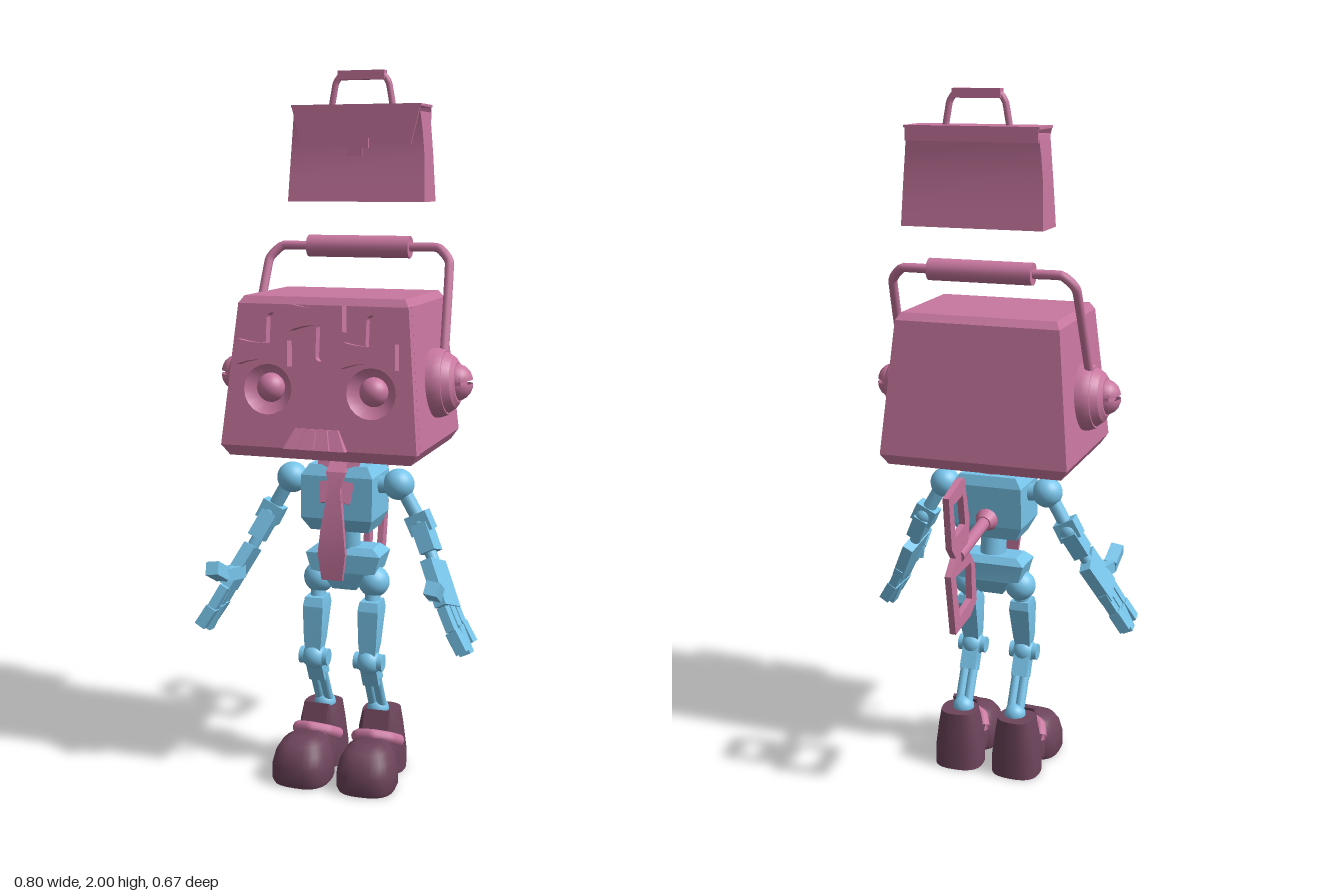
import * as THREE from 'three';
import { toCreasedNormals } from 'three/addons/utils/BufferGeometryUtils.js';

const V = (x, y, z) => new THREE.Vector3(x, y, z);
const paint = (color) => new THREE.MeshStandardMaterial({ color, side: THREE.DoubleSide });
const PINK = paint(0xc8779f), BLUE = paint(0x78c4ea), PLUM = paint(0x6d445b);

function add(parent, name, geo, mat, x = 0, y = 0, z = 0) {
  const m = new THREE.Mesh(geo, mat);
  m.name = name;
  m.position.set(x, y, z);
  parent.add(m);
  return m;
}
function part(parent, name) {
  const g = new THREE.Group();
  g.name = name;
  parent.add(g);
  return g;
}
const ball = (p, name, mat, x, y, z, r) => add(p, name, new THREE.SphereGeometry(r, 24, 16), mat, x, y, z);
const box = (p, name, mat, w, h, d, x, y, z) => add(p, name, new THREE.BoxGeometry(w, h, d), mat, x, y, z);

// Places a y-aligned geometry of unit length between two points, keeping its depth near z.
function span(m, a, b) {
  const up = b.clone().sub(a), y = up.clone().normalize();
  const ref = Math.abs(y.z) > 0.9 ? V(0, 1, 0) : V(0, 0, 1);
  const x = y.clone().cross(ref).normalize();
  m.quaternion.setFromRotationMatrix(new THREE.Matrix4().makeBasis(x, y, x.clone().cross(y)));
  m.scale.y = up.length();
  m.position.copy(a).add(b).multiplyScalar(0.5);
  return m;
}
const beam = (p, name, mat, a, b, w, d) => span(add(p, name, new THREE.BoxGeometry(w, 1, d), mat), a, b);
const rod = (p, name, mat, a, b, r0, r1 = r0) => span(add(p, name, new THREE.CylinderGeometry(r1, r0, 1, 16), mat), a, b);

// Skins closed rings from bottom to top and caps both ends.
function loft(rings, crease = 0.3) {
  const pos = [], n = rings[0].length;
  const tri = (...c) => c.forEach((v) => pos.push(v.x, v.y, v.z));
  for (let k = 0; k + 1 < rings.length; k++) {
    for (let i = 0; i < n; i++) {
      const a = rings[k], b = rings[k + 1], j = (i + 1) % n;
      tri(a[i], a[j], b[j]);
      tri(a[i], b[j], b[i]);
    }
  }
  const lo = rings[0], hi = rings[rings.length - 1];
  for (let i = 1; i + 1 < n; i++) {
    tri(hi[0], hi[i], hi[i + 1]);
    tri(lo[0], lo[i + 1], lo[i]);
  }
  const g = new THREE.BufferGeometry();
  g.setAttribute('position', new THREE.Float32BufferAttribute(pos, 3));
  return toCreasedNormals(g, crease);
}
const rect = ([y, hx, zb, zf]) => [V(-hx, y, zf), V(hx, y, zf), V(hx, y, zb), V(-hx, y, zb)];
const oval = ([y, rx, rz, zc]) => Array.from({ length: 28 }, (_, i) => {
  const t = (i / 28) * Math.PI * 2, c = Math.cos(t), s = Math.sin(t);
  return V(rx * Math.sign(c) * Math.abs(c) ** 0.75, y, zc - rz * Math.sign(s) * Math.abs(s) ** 0.75);
});
const poly = (pts) => new THREE.Shape(pts.map(([x, y]) => new THREE.Vector2(x, y)));
const plate = (shape, depth) => new THREE.ExtrudeGeometry(shape, { depth, bevelEnabled: false, curveSegments: 10 });
const tube = (pts, r) => new THREE.TubeGeometry(new THREE.CatmullRomCurve3(pts, false, 'catmullrom', 0.15), 48, r, 10);

function slot(x, y0, y1, r) {
  const p = new THREE.Path();
  p.absarc(x, y1 - r, r, 0, Math.PI);
  p.absarc(x, y0 + r, r, Math.PI, Math.PI * 2);
  p.closePath();
  return p;
}

function buildHead(root) {
  const head = part(root, 'head');
  add(head, 'headShell', loft([
    [0.965, 0.255, -0.12, 0.295], [0.995, 0.275, -0.135, 0.31], [0.995, 0.275, -0.135, 0.28],
    [1.375, 0.238, -0.097, 0.235], [1.375, 0.238, -0.097, 0.265], [1.395, 0.225, -0.08, 0.252],
  ].map(rect)), PINK);

  // Leaning face panel with brow slots and eye sockets
  const face = part(head, 'face');
  face.position.set(0, 0.995, 0.31);
  face.rotation.x = -0.118;
  const panel = poly([[-0.275, 0], [0.275, 0], [0.238, 0.383], [-0.238, 0.383]]);
  panel.holes.push(slot(0, 0.235, 0.335, 0.013));
  for (const s of [-1, 1]) {
    panel.holes.push(slot(s * 0.14, 0.25, 0.36, 0.015));
    panel.holes.push(new THREE.Path().absarc(s * 0.145, 0.155, 0.068, 0, Math.PI * 2));
    const dish = [[0, -0.028], [0.042, -0.026], [0.069, 0]].map(([x, y]) => new THREE.Vector2(x, y));
    add(face, 'eyeSocket', new THREE.LatheGeometry(dish, 20), PINK, s * 0.145, 0.155, 0).rotation.x = Math.PI / 2;
    ball(face, 'eye', PINK, s * 0.145, 0.16, -0.03, 0.04);
  }
  add(face, 'facePanel', plate(panel, 0.03), PINK, 0, 0, -0.03);

  // Sliding brows on pegs
  const brow = new THREE.Shape();
  brow.moveTo(-0.073, -0.033);
  brow.quadraticCurveTo(0, -0.002, 0.073, -0.033);
  brow.lineTo(0.07, 0.035);
  brow.quadraticCurveTo(0, 0.018, -0.07, 0.035);
  for (const [x, y, z] of [[-0.148, 0.252, 0.008], [0, 0.347, 0.004], [0.148, 0.252, 0.008]]) {
    add(face, 'brow', plate(brow, 0.036), PINK, x, y, z);
    box(face, 'browPeg', PINK, 0.02, 0.02, 0.05, x * 0.95, y + 0.008, -0.005);
  }
  // Four teeth flaring outwards at the bottom
  for (let i = -2; i < 2; i++) {
    const a = i * 0.044 + 0.002, b = a + 0.04;
    add(face, 'tooth', loft([
      [V(a, 0, 0.026), V(b, 0, 0.026), V(b, 0, -0.01), V(a, 0, -0.01)],
      [V(a * 0.7, 0.055, 0.01), V(b * 0.7, 0.055, 0.01), V(b * 0.7, 0.055, -0.01), V(a * 0.7, 0.055, -0.01)],
    ]), PINK);
  }

  // Ear cups with a notched knob
  const cup = [[0, 0], [0.095, 0], [0.095, 0.025], [0.088, 0.048], [0.083, 0.048], [0.07, 0.068], [0.055, 0.078], [0.048, 0.078]];
  for (const s of [-1, 1]) {
    const ear = part(head, s > 0 ? 'leftEar' : 'rightEar');
    ear.position.set(s * 0.25, 1.155, 0.08);
    ear.rotation.z = s * (-Math.PI / 2 + 0.07);
    const geo = new THREE.LatheGeometry(cup.map(([r, y]) => new THREE.Vector2(r, y)), 28);
    add(ear, 'earCup', toCreasedNormals(geo, 0.4), PINK);
    for (const side of [0, 1]) {
      const half = add(ear, 'earKnob', new THREE.SphereGeometry(0.046, 16, 10, 0, Math.PI), PINK, s * (side ? 0.005 : -0.005), 0.07, 0);
      half.rotation.y = side === (s > 0 ? 1 : 0) ? Math.PI / 2 : -Math.PI / 2;
    }
    box(ear, 'knobNotch', PINK, 0.03, 0.024, 0.08, 0, 0.08, 0);
  }

  // Carrying handle over the head
  const arm = [[0.285, 1.18, 0.075], [0.28, 1.24, 0.055], [0.267, 1.475, -0.037], [0.23, 1.515, -0.053], [0.14, 1.515, -0.053]];
  for (const s of [-1, 1]) add(head, 'handleArm', tube(arm.map(([x, y, z]) => V(s * x, y, z)), 0.013), PINK);
  rod(head, 'handleGrip', PINK, V(-0.15, 1.515, -0.053), V(0.15, 1.515, -0.053), 0.031);
}

function buildBriefcase(root) {
  const g = part(root, 'briefcase');
  add(g, 'caseBody', loft([
    [1.64, 0.2, -0.132, -0.015], [1.7, 0.198, -0.126, -0.022], [1.77, 0.195, -0.121, -0.029],
    [1.83, 0.19, -0.121, -0.029], [1.885, 0.184, -0.126, -0.024],
  ].map(rect), 0.5), PINK);
  box(g, 'flapTop', PINK, 0.376, 0.007, 0.12, 0, 1.902, -0.074);
  box(g, 'flapBack', PINK, 0.37, 0.04, 0.006, 0, 1.885, -0.13);
  const flap = poly([[-0.188, 1.905], [-0.16, 1.797], [0.16, 1.797], [0.188, 1.905]]);
  add(g, 'flapFront', plate(flap, 0.007), PINK, 0, 0, -0.021);
  box(g, 'clasp', PINK, 0.08, 0.026, 0.012, 0, 1.8, -0.012);
  box(g, 'claspTongue', PINK, 0.045, 0.05, 0.008, 0, 1.79, -0.014);
  const pts = [[-0.09, 1.9], [-0.078, 1.965], [-0.06, 1.987], [0.06, 1.987], [0.078, 1.965], [0.09, 1.9]];
  add(g, 'caseHandle', tube(pts.map(([x, y]) => V(x, y, -0.078)), 0.009), PINK);
  box(g, 'caseGrip', PINK, 0.135, 0.025, 0.027, 0, 1.9875, -0.078);
}

function buildBody(root) {
  const g = part(root, 'body');
  add(g, 'torso', loft([[0.73, 0.085, 0.01, 0.125], [0.77, 0.104, -0.005, 0.155], [0.89, 0.104, -0.01, 0.15], [0.92, 0.085, 0, 0.135]].map(rect)), BLUE);
  add(g, 'pelvis', loft([[0.55, 0.035, 0.035, 0.085], [0.6, 0.065, 0, 0.1], [0.605, 0.095, 0, 0.1], [0.655, 0.11, -0.005, 0.1], [0.675, 0.085, 0.01, 0.085]].map(rect)), BLUE);
  rod(g, 'waist', BLUE, V(0, 0.66, 0.05), V(0, 0.74, 0.065), 0.038);
  rod(g, 'neck', BLUE, V(0, 0.9, 0.065), V(0, 0.98, 0.06), 0.032);
  rod(g, 'collar', PINK, V(0, 0.922, 0.075), V(0, 0.948, 0.07), 0.06, 0.05);
  // Necktie and collar points
  add(g, 'necktie', loft([[0.605, 0.03, 0.178, 0.192], [0.68, 0.04, 0.18, 0.195], [0.75, 0.033, 0.175, 0.19], [0.86, 0.017, 0.153, 0.17], [0.905, 0.028, 0.125, 0.158], [0.935, 0.022, 0.1, 0.13]].map(rect)), PINK);
  for (const s of [-1, 1]) beam(g, 'collarPoint', PINK, V(s * 0.045, 0.945, 0.12), V(s * 0.025, 0.82, 0.165), 0.035, 0.012);

  // Wind-up key on the back
  const key = part(g, 'windUpKey');
  rod(key, 'keyBase', PINK, V(0, 0.79, 0), V(0, 0.787, -0.035), 0.036, 0.022);
  rod(key, 'keyShaft', PINK, V(0, 0.79, -0.02), V(0, 0.757, -0.24), 0.018);
  const wing = poly([[0.212, 0.975], [0.24, 0.975], [0.333, 0.95], [0.312, 0.8], [0.28, 0.765], [0.322, 0.725], [0.286, 0.545], [0.165, 0.556], [0.116, 0.585], [0.13, 0.7], [0.19, 0.765], [0.172, 0.84]]);
  wing.holes.push(poly([[0.225, 0.93], [0.298, 0.922], [0.282, 0.825], [0.208, 0.84]]));
  wing.holes.push(poly([[0.162, 0.715], [0.282, 0.712], [0.254, 0.585], [0.155, 0.602]]));
  add(key, 'keyWings', plate(wing, 0.018), PINK, -0.009, 0, 0).rotation.y = Math.PI / 2;
}

function buildArm(root, s) {
  const g = part(root, s > 0 ? 'leftArm' : 'rightArm');
  const P = (x, y, z) => V(s * x, y, z);
  rod(g, 'shoulderPin', BLUE, P(0.08, 0.86, 0.075), P(0.16, 0.865, 0.075), 0.025);
  ball(g, 'shoulder', BLUE, s * 0.158, 0.865, 0.075, 0.044);
  rod(g, 'upperArm', BLUE, P(0.165, 0.86, 0.075), P(0.225, 0.755, 0.075), 0.02);
  ball(g, 'elbow', BLUE, s * 0.225, 0.755, 0.075, 0.029);
  beam(g, 'elbowCuff', BLUE, P(0.21, 0.785, 0.075), P(0.235, 0.735, 0.08), 0.066, 0.045);
  beam(g, 'forearm', BLUE, P(0.225, 0.755, 0.075), P(0.26, 0.685, 0.1), 0.046, 0.06);
  rod(g, 'wrist', BLUE, P(0.25, 0.7, 0.095), P(0.275, 0.65, 0.11), 0.017);
  beam(g, 'palm', BLUE, P(0.268, 0.662, 0.11), P(0.325, 0.55, 0.16), 0.034, 0.105);
  // Fingers in two jointed pieces, then the thumb
  [0.125, 0.165, 0.207].forEach((z, i) => {
    const low = 0.447 - (i === 1 ? 0.018 : 0);
    const mid = P(0.352, 0.5, z + 0.005);
    beam(g, 'fingerBase', BLUE, P(0.32, 0.56, z - 0.012), mid, 0.026, 0.032);
    beam(g, 'fingerTip', BLUE, mid, P(0.385, low, z + 0.015), 0.032, 0.036);
  });
  beam(g, 'thumbBase', BLUE, P(0.285, 0.6, 0.16), P(0.31, 0.605, 0.235), 0.036, 0.036);
  beam(g, 'thumbTip', BLUE, P(0.31, 0.605, 0.23), P(0.315, 0.64, 0.295), 0.038, 0.038);
}

function buildLeg(root, s) {
  const g = part(root, s > 0 ? 'leftLeg' : 'rightLeg');
  const x = s * 0.082;
  ball(g, 'hip', BLUE, x, 0.575, 0.062, 0.045);
  rod(g, 'hipPin', BLUE, V(x, 0.56, 0.065), V(x, 0.5, 0.08), 0.022);
  add(g, 'thigh', loft([[0.37, 0.022, 0.085, 0.125], [0.4, 0.026, 0.075, 0.125], [0.5, 0.03, 0.045, 0.122], [0.525, 0.027, 0.05, 0.112]].map(rect)), BLUE, x);
  ball(g, 'knee', BLUE, x, 0.35, 0.105, 0.037);
  rod(g, 'kneePin', BLUE, V(x - 0.042, 0.35, 0.105), V(x + 0.042, 0.35, 0.105), 0.024);
  beam(g, 'shinTop', BLUE, V(x, 0.345, 0.1), V(x, 0.28, 0.068), 0.048, 0.045);
  for (const o of [-0.013, 0.013]) rod(g, 'shinRod', BLUE, V(x + o, 0.3, 0.078), V(x + o, 0.18, 0.015), 0.014);
  ball(g, 'ankle', BLUE, x, 0.18, 0.018, 0.032);

  // Boot: shaft and heel, instep, bulbous toe, strap and tongue
  const boot = part(g, 'boot');
  boot.position.x = s * 0.09;
  boot.rotation.y = s * 0.04;
  add(boot, 'bootShaft', loft([[0, 0.072, 0.064, 0.012], [0.06, 0.072, 0.064, 0.012], [0.13, 0.063, 0.06, 0.012], [0.178, 0.054, 0.053, 0.008]].map(oval), 0.8), PLUM);
  add(boot, 'bootInstep', loft([[0.018, 0.06, 0.08, 0.08], [0.08, 0.064, 0.08, 0.08], [0.12, 0.05, 0.06, 0.07]].map(oval), 0.8), PLUM);
  add(boot, 'bootToe', loft([[0, 0.08, 0.078, 0.165], [0.012, 0.085, 0.084, 0.165], [0.055, 0.084, 0.083, 0.165], [0.09, 0.075, 0.077, 0.162], [0.115, 0.06, 0.063, 0.155], [0.128, 0.035, 0.04, 0.145]].map(oval), 0.9), PLUM);
  const strap = [[-0.064, 0.1, 0.05], [-0.045, 0.122, 0.09], [0, 0.132, 0.108], [0.045, 0.122, 0.09], [0.064, 0.1, 0.05]];
  add(boot, 'bootStrap', tube(strap.map(([a, b, c]) => V(a, b, c)), 0.017), PINK);
  beam(boot, 'bootTongue', PLUM, V(0, 0.12, 0.085), V(0, 0.19, 0.06), 0.075, 0.014);
}

export function createModel() {
  const root = new THREE.Group();
  root.name = 'toyRobot';
  buildBriefcase(root);
  buildHead(root);
  buildBody(root);
  for (const s of [-1, 1]) {
    buildArm(root, s);
    buildLeg(root, s);
  }
  return root;
}
